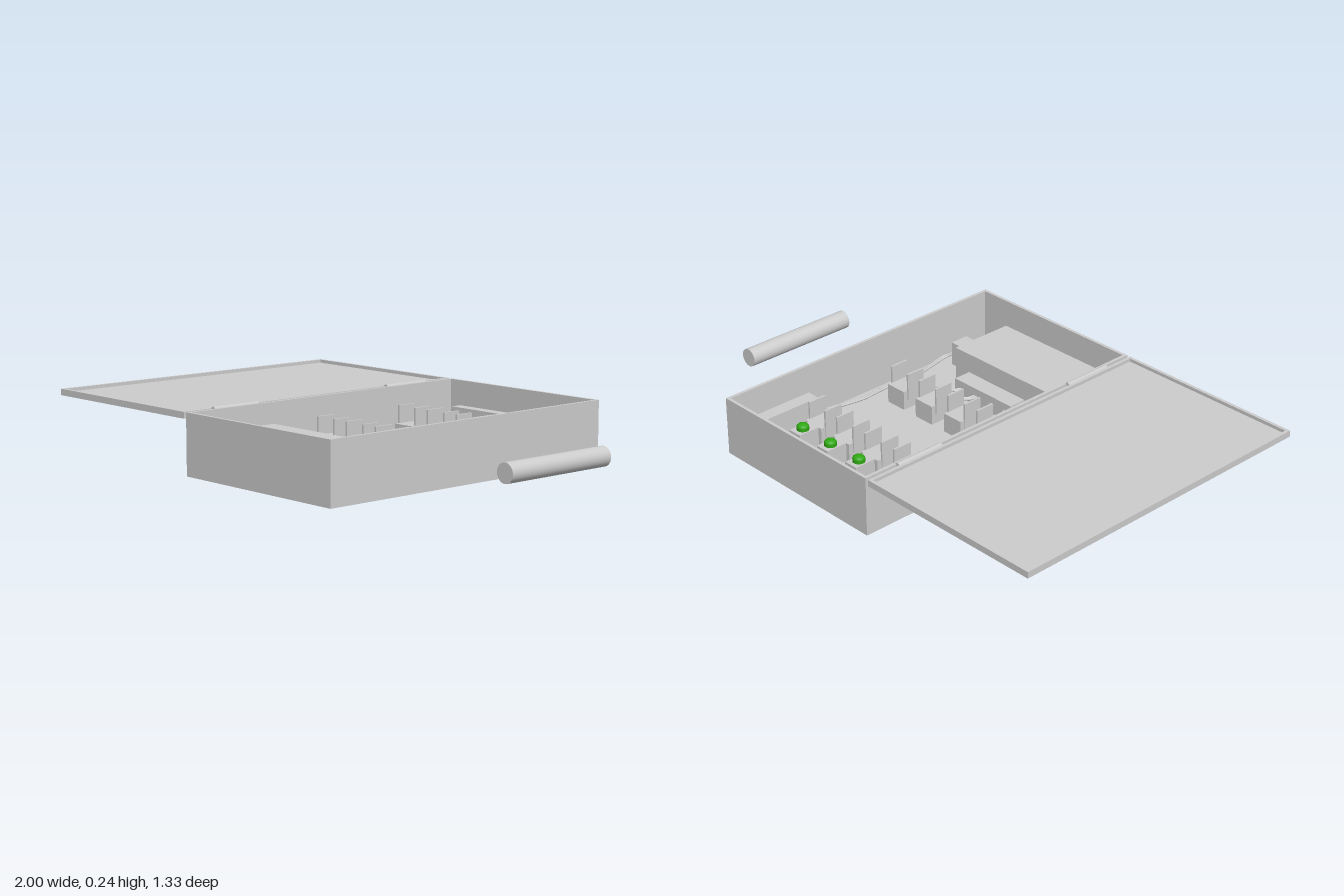
import * as THREE from 'three';

const grey = new THREE.MeshStandardMaterial({ color: 0xcccccc });
const green = new THREE.MeshStandardMaterial({ color: 0x2fa812 });

function add(parent, name, geometry, x = 0, y = 0, z = 0, material = grey) {
  const mesh = new THREE.Mesh(geometry, material);
  mesh.name = name;
  mesh.position.set(x, y, z);
  parent.add(mesh);
  return mesh;
}

// Box given by its limits on each axis
function block(parent, name, x0, x1, y0, y1, z0, z1) {
  return add(parent, name, new THREE.BoxGeometry(x1 - x0, y1 - y0, z1 - z0),
    (x0 + x1) / 2, (y0 + y1) / 2, (z0 + z1) / 2);
}

// Cylinder lying along z
function rod(parent, name, radius, length, x, y, z, sides = 32) {
  const geometry = new THREE.CylinderGeometry(radius, radius, length, sides).rotateX(Math.PI / 2);
  return add(parent, name, geometry, x, y, z);
}

function wire(parent, name, points, radius = 0.006) {
  const curve = new THREE.CatmullRomCurve3(points.map(p => new THREE.Vector3(...p)));
  return add(parent, name, new THREE.TubeGeometry(curve, 40, radius, 8));
}

// Open tray: a rim extruded from a shape with a hole, over a floor plate
function tray(parent, name, x0, x1, y0, y1, z0, z1, wall, floor) {
  const group = new THREE.Group();
  group.name = name;
  const rect = (Type, i) => new Type([
    new THREE.Vector2(x0 + i, -z1 + i), new THREE.Vector2(x1 - i, -z1 + i),
    new THREE.Vector2(x1 - i, -z0 - i), new THREE.Vector2(x0 + i, -z0 - i)]);
  const rim = rect(THREE.Shape, 0);
  rim.holes.push(rect(THREE.Path, wall));
  const walls = new THREE.ExtrudeGeometry(rim, { depth: y1 - y0, bevelEnabled: false }).rotateX(-Math.PI / 2);
  add(group, 'walls', walls, 0, y0, 0);
  block(group, 'floor', x0 + wall, x1 - wall, y0, y0 + floor, z0 + wall, z1 - wall);
  parent.add(group);
}

// One battery bay: two clip holders, terminals, socket and lamp
function bay(x) {
  const group = new THREE.Group();
  group.name = 'batteryBay';
  for (const [z0, z1] of [[-0.41, -0.29], [0.005, 0.125]]) {
    block(group, 'clipBase', x - 0.046, x + 0.046, 0.022, 0.1, z0, z1);
    const mid = (z0 + z1) / 2;
    for (const side of [-1, 1]) {
      const cx = x + side * 0.046;
      block(group, 'springClip', cx - 0.004, cx + 0.004, 0.06, 0.17, mid - 0.04, mid + 0.04);
    }
  }
  block(group, 'frontTerminal', x - 0.025, x + 0.025, 0.022, 0.075, 0.125, 0.165);
  block(group, 'lampSocket', x - 0.03, x + 0.03, 0.022, 0.1, -0.5, -0.41);
  block(group, 'rearTerminal', x - 0.023, x + 0.023, 0.022, 0.075, -0.55, -0.5);
  add(group, 'lampBody', new THREE.CylinderGeometry(0.024, 0.024, 0.012, 24), x, 0.106, -0.46, green);
  const dome = new THREE.SphereGeometry(0.024, 24, 8, 0, Math.PI * 2, 0, Math.PI / 2).scale(1, 0.6, 1);
  add(group, 'lampDome', dome, x, 0.112, -0.46, green);
  return group;
}

// Row of small beads on a lead
function beads(parent, x, y, z0, count, pitch) {
  for (let i = 0; i < count; i++) {
    rod(parent, 'bead', 0.014, pitch * 0.8, x, y, z0 + (i + 0.5) * pitch, 16);
  }
  rod(parent, 'beadLead', 0.005, count * pitch + 0.02, x, y, z0 + count * pitch / 2 - 0.01, 8);
}

export function createModel() {
  const model = new THREE.Group();
  model.name = 'batteryCase';

  // Case, opened lid and hinges
  tray(model, 'case', -0.2, 0.59, 0, 0.235, -0.667, 0.667, 0.013, 0.012);
  tray(model, 'lid', -1, -0.213, 0.21, 0.235, -0.667, 0.667, 0.013, 0.012);
  for (const z of [-0.42, 0.435]) rod(model, 'hinge', 0.011, 0.208, -0.206, 0.231, z, 20);

  // Board with four battery bays
  block(model, 'board', -0.14, 0.462, 0.012, 0.022, -0.58, 0.212);
  const bays = [-0.08, 0.08, 0.24, 0.4];
  for (const x of bays) model.add(bay(x));
  block(model, 'boardChip', -0.042, 0.003, 0.022, 0.06, -0.492, -0.424);
  beads(model, 0.316, 0.04, -0.5, 3, 0.028);

  // Distribution bars along the back and side
  block(model, 'backBar', -0.13, 0.182, 0.012, 0.135, -0.65, -0.603);
  block(model, 'sideBar', 0.49, 0.545, 0.012, 0.142, -0.615, -0.31);

  // Power supply, its terminal shelf and the switch box
  block(model, 'powerSupply', -0.124, 0.396, 0.012, 0.165, 0.32, 0.597);
  block(model, 'powerTerminal', 0.01, 0.32, 0.012, 0.085, 0.245, 0.32);
  block(model, 'switchBox', 0.416, 0.516, 0.012, 0.11, 0.41, 0.49);
  beads(model, 0.47, 0.06, 0.505, 4, 0.022);
  wire(model, 'switchLead', [[0.39, 0.07, 0.455], [0.405, 0.07, 0.45], [0.42, 0.07, 0.45]]);

  // Wires from the front terminals to the power supply
  const ends = [0.045, 0.115, 0.205, 0.28];
  bays.forEach((x, i) => {
    const e = ends[i];
    for (const s of [-0.006, 0.006]) {
      wire(model, 'frontWire', [[x + s, 0.05, 0.16], [x * 0.85 + e * 0.15 + s, 0.048, 0.19],
        [x * 0.2 + e * 0.8 + s, 0.048, 0.22], [e + s, 0.05, 0.25]], 0.005);
    }
  });

  // Wires from the rear terminals to the bars
  wire(model, 'rearWire', [[-0.08, 0.05, -0.545], [-0.073, 0.05, -0.575], [-0.055, 0.05, -0.61]]);
  wire(model, 'rearWire', [[0.08, 0.05, -0.545], [0.073, 0.05, -0.575], [0.055, 0.05, -0.61]]);
  wire(model, 'rearWire', [[0.24, 0.05, -0.545], [0.28, 0.06, -0.59], [0.37, 0.07, -0.607], [0.5, 0.08, -0.605]]);
  wire(model, 'rearWire', [[0.4, 0.05, -0.545], [0.415, 0.06, -0.575], [0.45, 0.07, -0.592], [0.5, 0.08, -0.592]]);

  // Paired cables along both sides
  for (const s of [-0.005, 0.005]) {
    wire(model, 'leftCable', [[-0.1, 0.05, -0.465 + s], [-0.14, 0.045, -0.45 + s], [-0.157 + s, 0.03, -0.38],
      [-0.153 + s, 0.03, -0.2], [-0.162 + s, 0.03, 0], [-0.163 + s, 0.03, 0.2],
      [-0.15 + s, 0.035, 0.32], [-0.12 + s, 0.05, 0.39]], 0.005);
    wire(model, 'rightCable', [[0.52 + s, 0.06, -0.32], [0.535 + s, 0.04, -0.22], [0.522 + s, 0.03, -0.05],
      [0.53 + s, 0.03, 0.05], [0.522 + s, 0.03, 0.2], [0.54 + s, 0.03, 0.32],
      [0.545 + s, 0.04, 0.4], [0.51, 0.06, 0.44 + s]], 0.005);
  }

  // Loose battery beside the case
  rod(model, 'looseBattery', 0.037, 0.492, 0.963, 0.117, -0.027, 48);

  return model;
}
